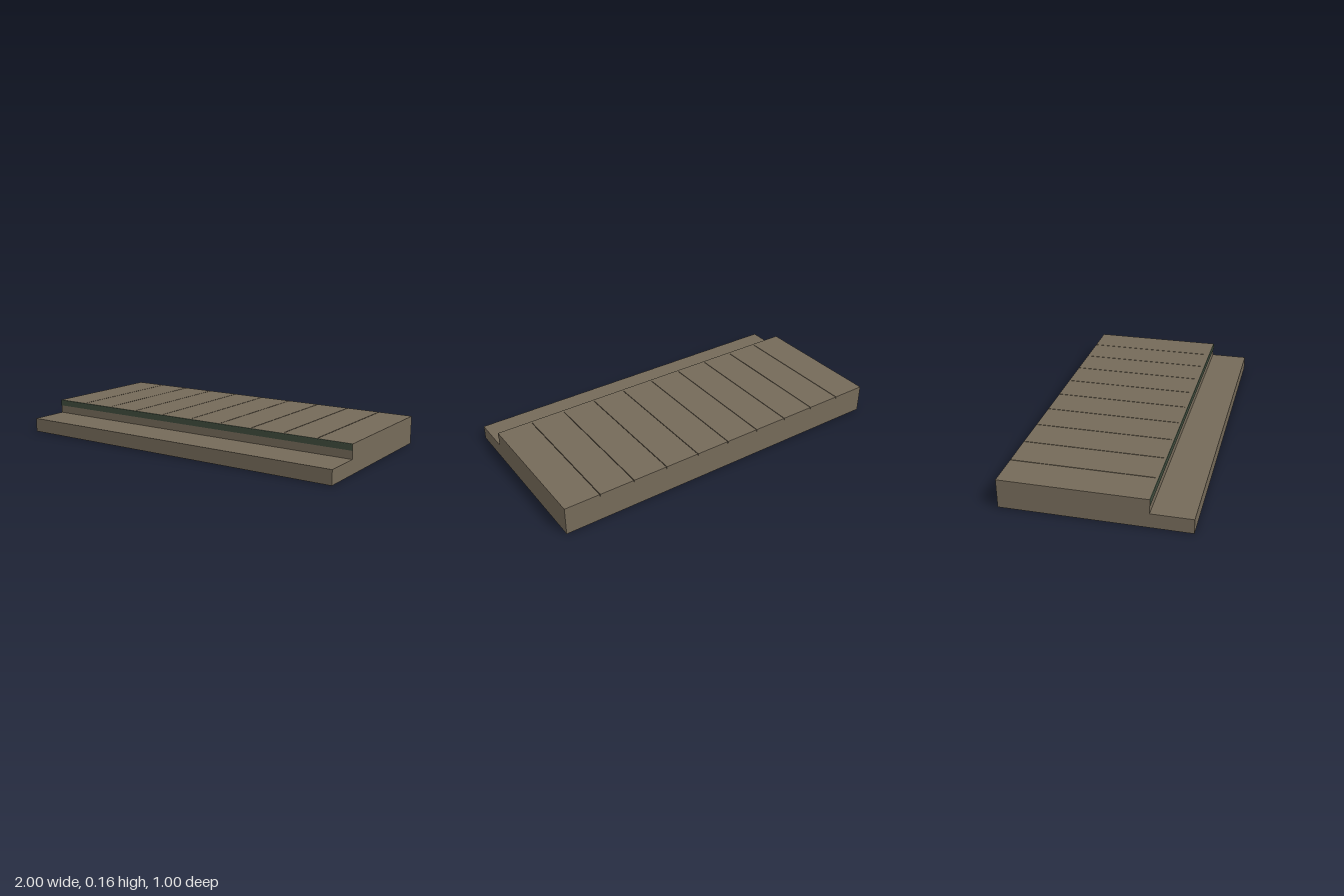
import * as THREE from 'three';

export function createModel() {
  const group = new THREE.Group();
  const stone = new THREE.MeshStandardMaterial({ color: 0x756a59 });
  stone.name = 'brown stone';
  const green = new THREE.MeshStandardMaterial({ color: 0x3f4c3d });
  green.name = 'dark green';

  // Box given by its limits on each axis
  function box(name, x0, x1, y0, y1, z0, z1) {
    const mesh = new THREE.Mesh(new THREE.BoxGeometry(x1 - x0, y1 - y0, z1 - z0), stone);
    mesh.position.set((x0 + x1) / 2, (y0 + y1) / 2, (z0 + z1) / 2);
    mesh.name = name;
    group.add(mesh);
  }

  // Two solid levels of the step
  box('lowerStep', -1, 1, 0, 0.08, 0.28, 0.5);
  box('upperStep', -1, 1, 0, 0.148, -0.5, 0.28);

  // Ten paving slabs with narrow joints
  const count = 10, width = 2 / count, joint = 0.002;
  for (let i = 0; i < count; i++) {
    const x0 = -1 + i * width + (i > 0 ? joint : 0);
    const x1 = -1 + (i + 1) * width - (i < count - 1 ? joint : 0);
    box('slab' + (i + 1), x0, x1, 0.148, 0.16, -0.5, 0.265);
  }

  // Front edging in two halves, each with a green face rounded at the top
  const profile = new THREE.Shape();
  profile.moveTo(-0.279, 0.125);
  profile.lineTo(-0.279, 0.16);
  profile.quadraticCurveTo(-0.283, 0.16, -0.283, 0.155);
  profile.lineTo(-0.283, 0.125);
  profile.closePath();
  for (const side of [-1, 1]) {
    const x0 = side < 0 ? -1 : 0;
    box(side < 0 ? 'rightEdging' : 'leftEdging', x0, x0 + 1, 0.148, 0.16, 0.265, 0.279);
    const geometry = new THREE.ExtrudeGeometry(profile, { depth: 1, bevelEnabled: false, curveSegments: 4 });
    geometry.rotateY(Math.PI / 2);
    const face = new THREE.Mesh(geometry, [stone, green]);
    face.position.x = x0;
    face.name = side < 0 ? 'rightEdgingFace' : 'leftEdgingFace';
    group.add(face);
  }
  return group;
}
